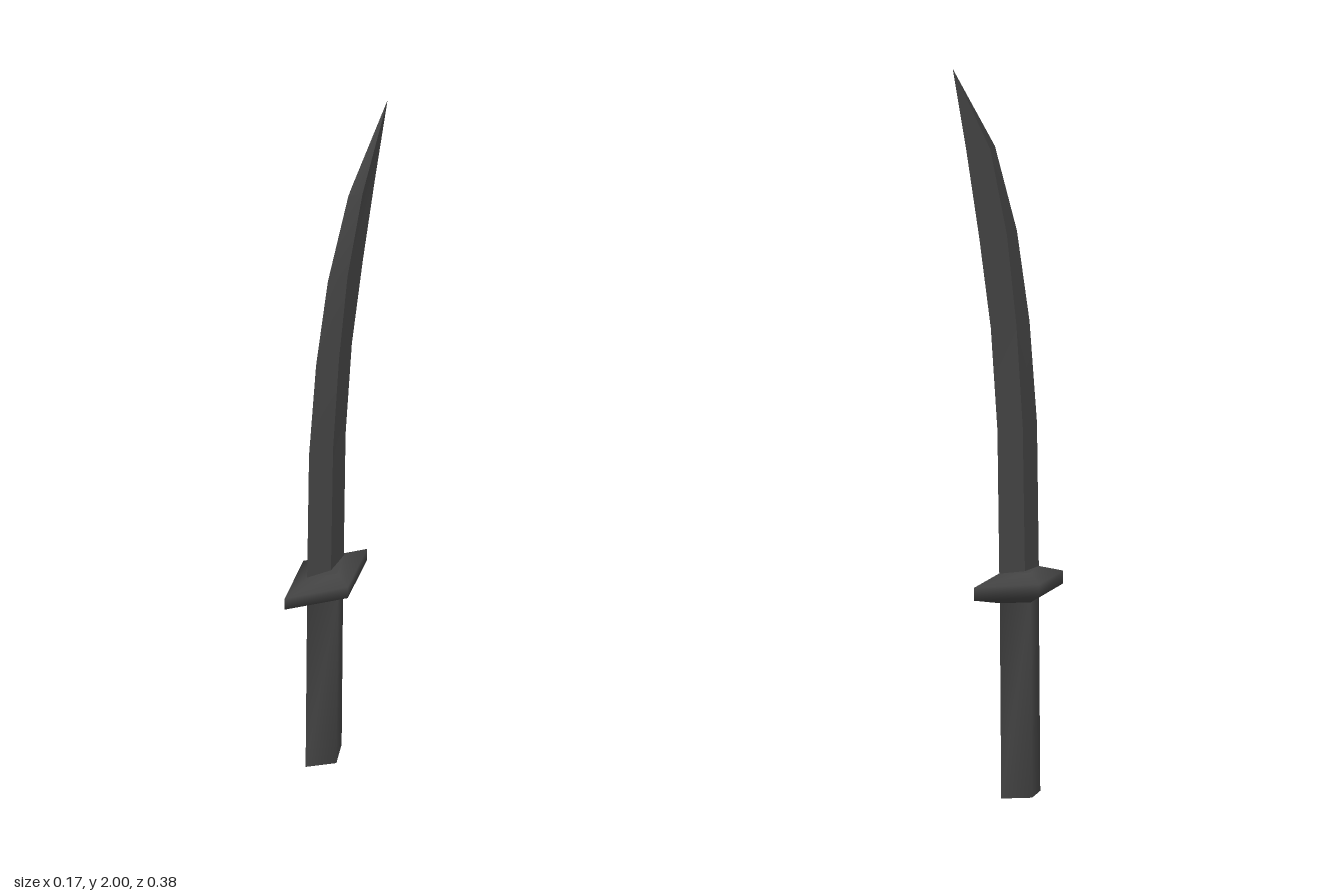
import * as THREE from 'three';
import { toCreasedNormals } from 'three/addons/utils/BufferGeometryUtils.js';

// Diamond cross-section: front, left, back and right corners at height y.
// skew turns the diamond slightly about the vertical axis.
function diamond(y, cx, halfWidth, zFront, zMid, zBack, skew) {
  return [
    [cx + skew, y, zFront],
    [cx + halfWidth, y, zMid],
    [cx - skew, y, zBack],
    [cx - halfWidth, y, zMid],
  ];
}

// Skin a stack of diamonds from bottom to top and cap both ends.
function loft(rings, crease) {
  const points = rings.flat();
  const index = [];
  for (let i = 0; i < rings.length - 1; i++) {
    for (let j = 0; j < 4; j++) {
      const a = i * 4 + j, b = i * 4 + (j + 1) % 4;
      index.push(a, b, b + 4, a, b + 4, a + 4);
    }
  }
  // Caps get their own corners so their rims stay sharp
  const n = points.length;
  points.push(...rings[0], ...rings[rings.length - 1]);
  index.push(n, n + 2, n + 1, n, n + 3, n + 2);
  index.push(n + 4, n + 5, n + 6, n + 4, n + 6, n + 7);

  const geometry = new THREE.BufferGeometry();
  geometry.setAttribute('position', new THREE.Float32BufferAttribute(points.flat(), 3));
  geometry.setIndex(index);
  geometry.computeVertexNormals();
  return crease ? toCreasedNormals(geometry, crease) : geometry;
}

export function createModel() {
  const group = new THREE.Group();
  const material = new THREE.MeshStandardMaterial({ color: 0x444444 });
  const add = (name, geometry) => {
    const mesh = new THREE.Mesh(geometry, material);
    mesh.name = name;
    group.add(mesh);
  };

  // Straight grip, leaning very slightly
  add('handle', loft([
    diamond(0, -0.007, 0.049, 0.105, 0.033, -0.038, 0.006),
    diamond(0.54, -0.001, 0.049, 0.105, 0.033, -0.038, 0.006),
  ]));

  // Diamond guard, tapering above and below its rim
  add('guard', loft([
    diamond(0.53, -0.001, 0.049, 0.105, 0.033, -0.038, 0.006),
    diamond(0.55, -0.001, 0.086, 0.192, 0.032, -0.13, 0.011),
    diamond(0.585, -0.001, 0.086, 0.192, 0.032, -0.13, 0.011),
    diamond(0.61, 0, 0.046, 0.105, 0.033, -0.038, 0.006),
  ]));

  // Curved blade with a ridge on each side, ending in a point
  add('blade', loft([
    diamond(0.6, 0, 0.023, 0.105, 0.035, -0.038, 0.005),
    diamond(1.0, 0.003, 0.023, 0.101, 0.03, -0.042, 0.005),
    diamond(1.28, 0.005, 0.023, 0.077, 0.01, -0.063, 0.005),
    diamond(1.53, 0.007, 0.022, 0.035, -0.02, -0.1, 0.004),
    diamond(1.77, 0.008, 0.021, -0.04, -0.075, -0.142, 0.003),
    diamond(2.0, 0.002, 0.0004, -0.19, -0.1903, -0.191, 0),
  ], 0.55));

  return group;
}
